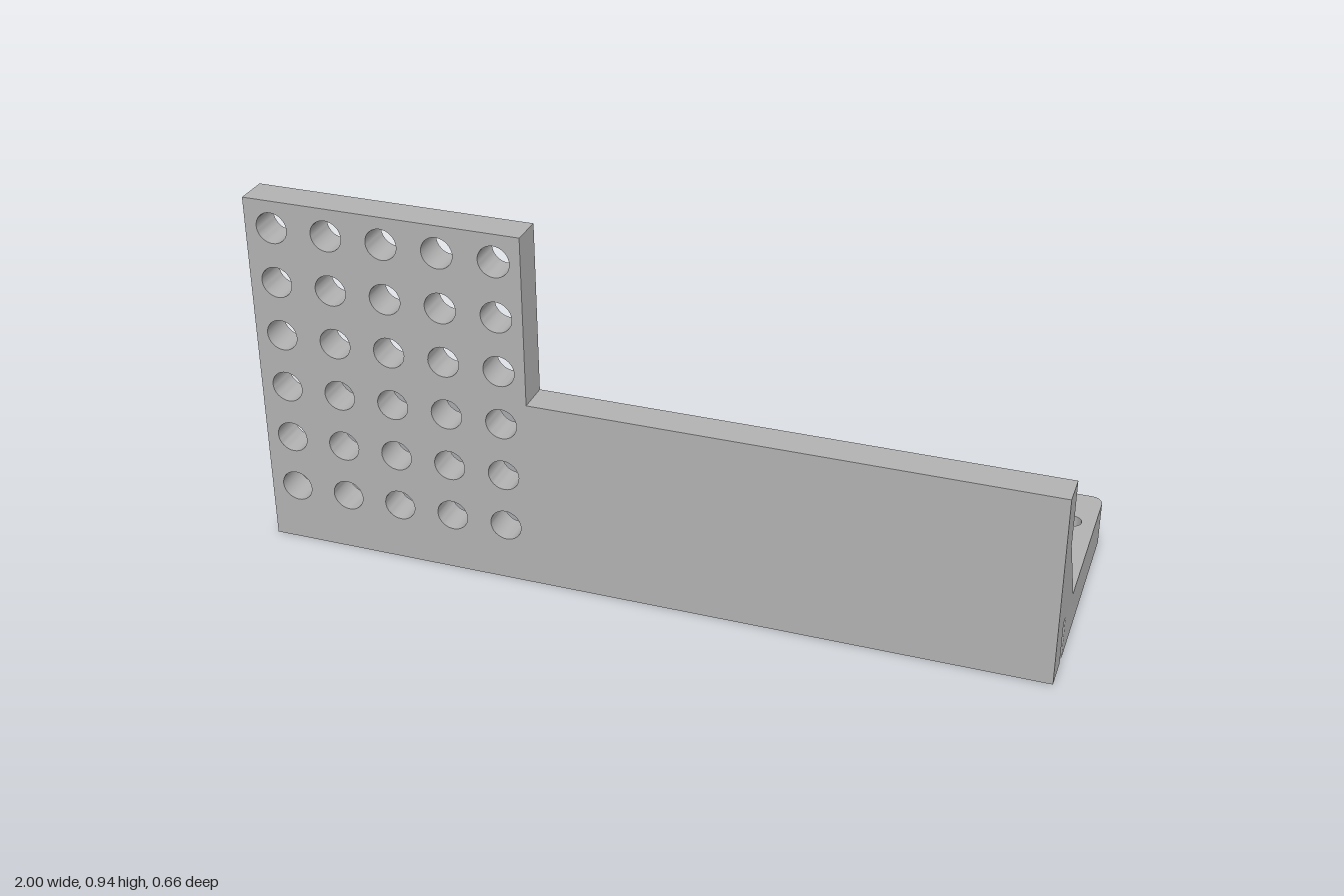
import * as THREE from 'three';
import { toCreasedNormals } from 'three/addons/utils/BufferGeometryUtils.js';

const gray = new THREE.MeshStandardMaterial({ color: 0xb2b2b2 });
gray.name = 'light gray';

const polygon = (points) => new THREE.Shape(points.map(([x, y]) => new THREE.Vector2(x, y)));

function addHole(shape, x, y, r) {
  const hole = new THREE.Path();
  hole.absarc(x, y, r, 0, Math.PI * 2, true);
  shape.holes.push(hole);
}

// Extrusion with smooth hole walls and sharp edges
function extrude(shape, depth) {
  const geo = new THREE.ExtrudeGeometry(shape, { depth, bevelEnabled: false, curveSegments: 16 });
  return toCreasedNormals(geo, 0.6);
}

function roundedRect(x0, y0, x1, y1, r) {
  const s = new THREE.Shape();
  s.absarc(x1 - r, y0 + r, r, -Math.PI / 2, 0, false);
  s.absarc(x1 - r, y1 - r, r, 0, Math.PI / 2, false);
  s.absarc(x0 + r, y1 - r, r, Math.PI / 2, Math.PI, false);
  s.absarc(x0 + r, y0 + r, r, Math.PI, Math.PI * 1.5, false);
  s.closePath();
  return s;
}

export function createModel() {
  const group = new THREE.Group();
  group.name = 'mountingBracket';
  const add = (name, geo) => {
    const mesh = new THREE.Mesh(geo, gray);
    mesh.name = name;
    group.add(mesh);
  };

  const wallBack = 0.245, wallFront = 0.33, plateTop = 0.115;
  const plateLeft = -0.25;

  // Upright L-shaped panel with a 5 x 6 grid of holes
  const panel = polygon([[-1, 0], [1, 0], [1, 0.5], [-0.292, 0.5], [-0.292, 0.936], [-1, 0.936]]);
  for (let col = 0; col < 5; col++) {
    for (let row = 0; row < 6; row++) {
      addHole(panel, -0.93 + col * 0.1427, 0.152 + row * 0.1427, 0.04);
    }
  }
  add('perforatedPanel', extrude(panel, wallFront - wallBack).translate(0, 0, wallBack));

  // Horizontal plate with a window and four screw holes (shape y is -z)
  const plate = roundedRect(plateLeft, -wallBack, 1, 0.33, 0.03);
  plate.holes.push(polygon([[0.15, -0.073], [0.15, 0.293], [0.88, 0.293], [0.88, -0.073]]));
  for (const x of [0.09, 0.942]) {
    for (const y of [0.02, 0.198]) addHole(plate, x, y, 0.024);
  }
  add('windowPlate', extrude(plate, plateTop).rotateX(-Math.PI / 2));

  // Sloped brace between plate and panel (shape x is -z)
  const brace = polygon([[-wallBack, plateTop], [-0.118, plateTop], [-wallBack, 0.328]]);
  add('slopedBrace', extrude(brace, 1 - plateLeft).rotateY(Math.PI / 2).translate(plateLeft, 0, 0));

  // Small block at the side of the plate
  add('sideBlock', new THREE.BoxGeometry(0.05, plateTop, 0.15).translate(-0.275, plateTop / 2, 0.17));

  return group;
}
